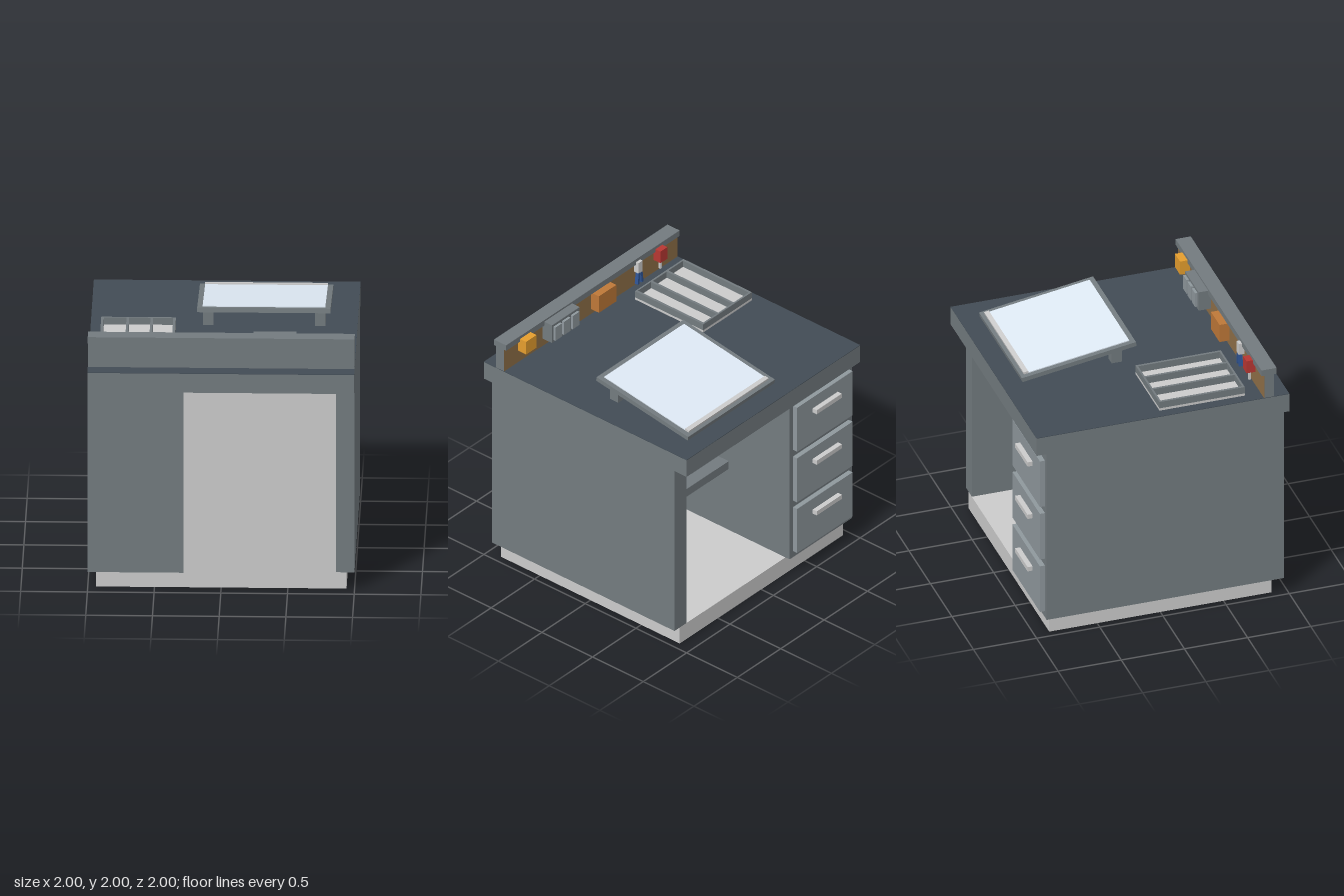
import * as THREE from 'three';

const COLORS = {
  grey: 0xcccccc, body: 0x737b7f, drawer: 0x8f989d, mat: 0x424c55, glass: 0xdfeaf5,
  cork: 0x8f6f47, brass: 0xe59e2e, copper: 0xbe7838, red: 0xb83733, blue: 0x2f5596,
};
const materials = {};
for (const k in COLORS) {
  materials[k] = new THREE.MeshStandardMaterial({ color: COLORS[k], flatShading: true });
}

// Box given by its lower and upper limits on each axis
function box(parent, name, color, [x0, x1], [y0, y1], [z0, z1]) {
  const mesh = new THREE.Mesh(new THREE.BoxGeometry(x1 - x0, y1 - y0, z1 - z0), materials[color]);
  mesh.position.set((x0 + x1) / 2, (y0 + y1) / 2, (z0 + z1) / 2);
  mesh.name = name;
  parent.add(mesh);
  return mesh;
}

function group(parent, name) {
  const g = new THREE.Group();
  g.name = name;
  parent.add(g);
  return g;
}

export function createModel() {
  const model = new THREE.Group();
  model.name = 'workDesk';
  const TOP = 1.755, FLOOR = 0.145;

  // Hollow plinth, open underneath
  const plinth = group(model, 'plinth');
  box(plinth, 'plinthFloor', 'grey', [-0.94, 0.94], [FLOOR - 0.006, FLOOR], [-0.88, 0.88]);
  for (const s of [-1, 1]) {
    box(plinth, 'plinthSide', 'grey', [s * 0.937 - 0.003, s * 0.937 + 0.003], [0, FLOOR - 0.006], [-0.88, 0.88]);
    box(plinth, 'plinthEnd', 'grey', [-0.934, 0.934], [0, FLOOR - 0.006], [s * 0.877 - 0.003, s * 0.877 + 0.003]);
  }

  // Carcass
  box(model, 'drawerPedestal', 'body', [-1, -0.28], [FLOOR, 1.6], [-0.92, 0.96]);
  box(model, 'sidePanel', 'body', [0.86, 1], [FLOOR, 1.6], [-0.88, 0.92]);
  box(model, 'frontPanel', 'grey', [-0.28, 0.86], [FLOOR, 1.6], [0.88, 0.92]);
  box(model, 'shelf', 'body', [-0.28, 0.86], [0.7, 0.77], [-0.32, 0.88]);

  // Worktop with a dark surface
  box(model, 'worktop', 'body', [-1, 1], [1.6, TOP - 0.004], [-1, 1]);
  box(model, 'worktopSurface', 'mat', [-1, 1], [TOP - 0.004, TOP], [-1, 1]);

  // Drawers
  for (let i = 0; i < 3; i++) {
    const y = 0.2 + i * 0.46;
    const drawer = group(model, 'drawer');
    box(drawer, 'drawerFront', 'drawer', [-0.96, -0.32], [y, y + 0.4], [-0.96, -0.92]);
    box(drawer, 'drawerHandle', 'grey', [-0.79, -0.5], [y + 0.265, y + 0.302], [-1, -0.96]);
  }

  // Toolbox on the shelf
  const toolbox = group(model, 'toolbox');
  box(toolbox, 'toolboxBody', 'red', [-0.05, 0.63], [0.77, 1.11], [0.03, 0.45]);
  box(toolbox, 'toolboxHandle', 'grey', [0.09, 0.49], [0.92, 0.98], [-0.01, 0.03]);

  // Upstand with cap and tool board
  const upstand = group(model, 'upstand');
  box(upstand, 'upstandBoard', 'body', [-1, 1], [TOP, 1.95], [0.803, 0.88]);
  box(upstand, 'toolBoard', 'cork', [-1, 1], [TOP, 1.95], [0.8, 0.803]);
  box(upstand, 'upstandCap', 'body', [-1, 1], [1.95, 2], [0.78, 0.9]);

  // Things hung on the tool board
  const tools = group(model, 'hangingTools');
  box(tools, 'brassBox', 'brass', [0.72, 0.84], [1.86, 1.975], [0.72, 0.8]);
  box(tools, 'organiser', 'body', [0.24, 0.56], [1.825, 1.985], [0.705, 0.8]);
  for (const x of [0.305, 0.405, 0.505]) {
    box(tools, 'organiserBin', 'drawer', [x - 0.038, x + 0.038], [1.845, 1.965], [0.685, 0.705]);
  }
  box(tools, 'copperBox', 'copper', [-0.2, 0], [1.8, 1.95], [0.72, 0.8]);
  box(tools, 'redToolHead', 'red', [-0.8, -0.72], [1.87, 1.975], [0.73, 0.8]);
  box(tools, 'redToolStem', 'grey', [-0.77, -0.75], [1.79, 1.87], [0.757, 0.777]);
  box(tools, 'pliersHead', 'grey', [-0.545, -0.497], [1.88, 1.975], [0.755, 0.8]);
  for (const s of [-1, 1]) {
    const handle = box(tools, 'pliersHandle', 'blue', [-0.01, 0.01], [1.782, 1.885], [0.755, 0.785]);
    handle.position.x = -0.521 + s * 0.018;
    handle.rotation.z = s * 0.12;
  }

  // Divided tray
  const tray = group(model, 'tray');
  box(tray, 'trayBase', 'grey', [-0.92, -0.36], [TOP, 1.775], [0, 0.675]);
  for (const x of [-0.91, -0.72, -0.54, -0.37]) {
    box(tray, 'trayWall', 'body', [x - 0.01, x + 0.01], [1.775, 1.83], [0.015, 0.66]);
  }
  for (const z of [0, 0.66]) {
    box(tray, 'trayEnd', 'body', [-0.92, -0.36], [1.775, 1.83], [z, z + 0.015]);
  }

  // Tilted drawing board on two legs
  const board = group(model, 'drawingBoard');
  box(board, 'boardFrame', 'body', [-0.5, 0.5], [-0.0175, 0.0175], [-0.457, 0.457]);
  box(board, 'boardGlass', 'glass', [-0.46, 0.46], [0.0175, 0.025], [-0.39, 0.417]);
  box(board, 'pencilLedge', 'grey', [-0.46, 0.46], [0.0175, 0.035], [-0.427, -0.39]);
  board.position.set(0.3, 1.8425, -0.39);
  board.rotation.x = -0.155;
  for (const x of [-0.12, 0.72]) {
    box(model, 'boardLeg', 'body', [x - 0.04, x + 0.04], [TOP, 1.87], [-0.12, -0.04]);
  }

  return model;
}
